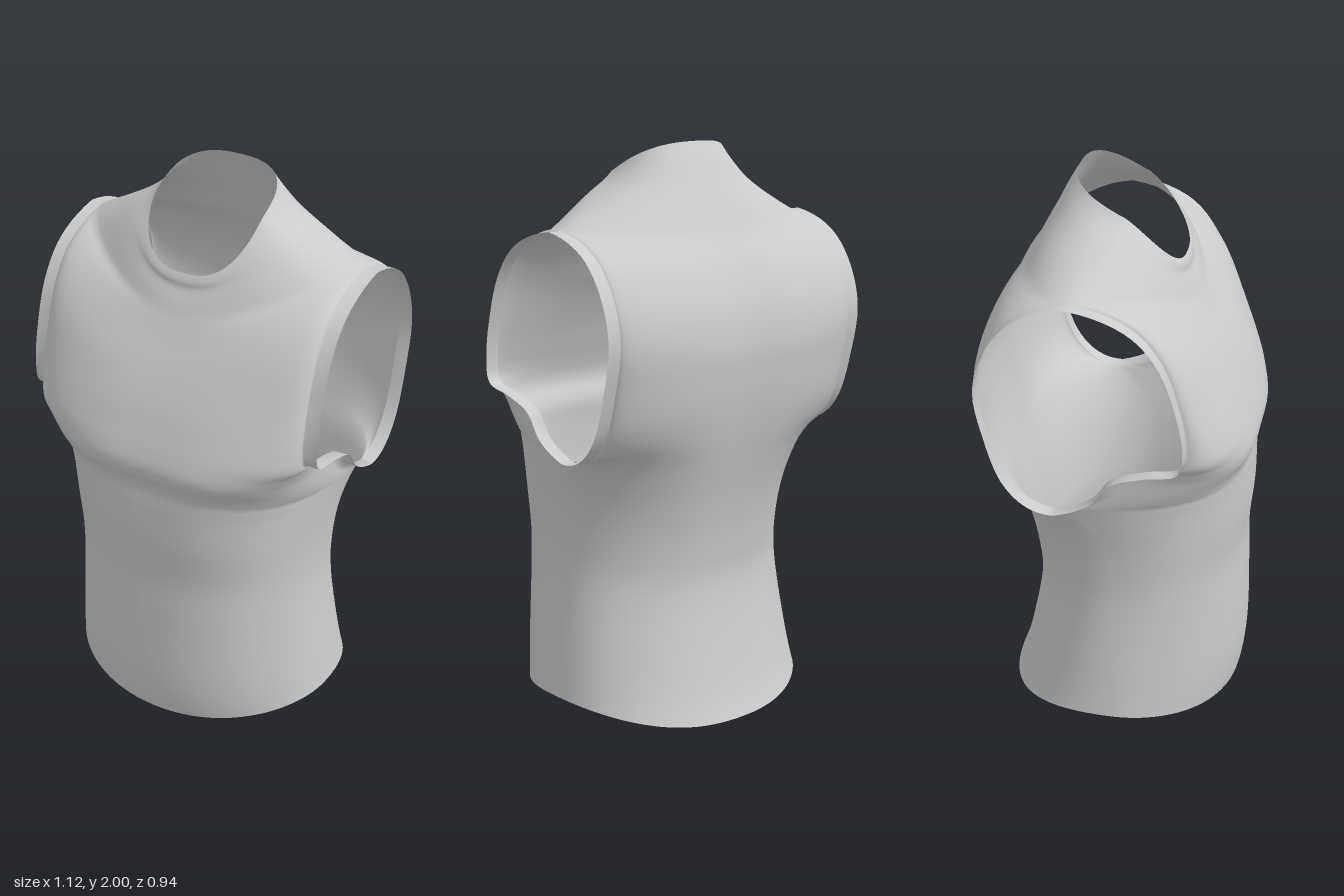
import * as THREE from 'three';
import { mergeGeometries, mergeVertices } from 'three/addons/utils/BufferGeometryUtils.js';

// Section rows from hem to collar. Each row: side edge x, y, z, centre y, z,
// squareness of the arc, and how late the height falls towards the centre.
const FRONT = [
  [0.507, 0.09, 0.02, 0.03, 0.42, 0.97, 2.2],
  [0.49, 0.25, 0.02, 0.2, 0.44, 0.95, 1.5],
  [0.468, 0.48, 0.02, 0.46, 0.436, 0.9, 1],
  [0.463, 0.62, 0.02, 0.63, 0.432, 0.88, 1],
  [0.474, 0.78, 0, 0.79, 0.446, 0.85, 1],
  [0.495, 0.9, -0.06, 0.92, 0.446, 0.8, 1],
  [0.512, 0.965, -0.15, 0.99, 0.443, 0.73, 1],
  [0.512, 1.02, -0.03, 1.03, 0.452, 0.75, 1],
  [0.512, 1.105, 0.04, 1.07, 0.468, 0.73, 1],
  [0.512, 1.145, 0.15, 1.11, 0.47, 0.77, 1],
  [0.512, 1.17, 0.26, 1.16, 0.457, 0.85, 1],
  [0.512, 1.25, 0.28, 1.22, 0.435, 0.9, 1],
  [0.512, 1.38, 0.26, 1.31, 0.4, 1, 1.1],
  [0.512, 1.55, 0.2, 1.42, 0.345, 1.05, 1.5],
  [0.512, 1.67, 0.09, 1.5, 0.295, 1.1, 1.9],
  [0.512, 1.73, -0.1, 1.57, 0.255, 1.15, 2.5],
  [0.4, 1.79, -0.07, 1.62, 0.23, 1.05, 2.4],
  [0.3, 1.845, -0.03, 1.66, 0.208, 0.92, 2],
  [0.24, 1.88, -0.01, 1.685, 0.203, 0.82, 1.6],
  [0.205, 1.91, 0, 1.71, 0.19, 0.76, 1.35],
];
const BACK = [
  [0.507, 0.09, 0.02, 0, -0.42, 0.88, 2.2],
  [0.49, 0.25, 0.02, 0.17, -0.37, 0.9, 1.5],
  [0.468, 0.48, 0.02, 0.45, -0.32, 0.94, 1],
  [0.463, 0.62, 0.02, 0.62, -0.333, 0.96, 1],
  [0.474, 0.78, 0, 0.78, -0.367, 0.96, 1],
  [0.495, 0.9, -0.06, 0.92, -0.407, 0.95, 1],
  [0.512, 0.965, -0.15, 1.0, -0.43, 0.94, 1],
  [0.512, 0.99, -0.25, 1.06, -0.446, 1, 1],
  [0.512, 1.08, -0.33, 1.13, -0.462, 1.08, 1],
  [0.512, 1.23, -0.38, 1.22, -0.477, 1.15, 1],
  [0.512, 1.4, -0.41, 1.34, -0.485, 1.2, 1],
  [0.512, 1.55, -0.37, 1.47, -0.465, 1.15, 1],
  [0.512, 1.67, -0.27, 1.6, -0.41, 1.1, 1.2],
  [0.512, 1.73, -0.1, 1.7, -0.345, 1.08, 1.4],
  [0.4, 1.79, -0.07, 1.79, -0.297, 1, 1.2],
  [0.3, 1.845, -0.03, 1.87, -0.25, 0.9, 1],
  [0.24, 1.88, -0.01, 1.94, -0.21, 0.82, 1],
  [0.205, 1.91, 0, 2.0, -0.17, 0.76, 1],
];
const ARMPIT = 6, FRONT_SHOULDER = 15, BACK_SHOULDER = 13;
const STEPS = 5, COLS = 56;

// Smooth interpolation between rows; edges are split at armpit and shoulder
// so that both panels share exactly the same seams.
function rowAt(rows, shoulder, k) {
  const i = Math.min(Math.floor(k / STEPS), rows.length - 2), s = k / STEPS - i;
  return rows[i].map((b, c) => {
    const d = rows[i + 1][c];
    const split = (n) => n === 0 || n === rows.length - 1 ||
      (c < 3 && (n === ARMPIT || n === shoulder));
    const a = split(i) ? 3 * b - 3 * d + rows[i + 2][c] : rows[i - 1][c];
    const e = split(i + 1) ? 3 * d - 3 * b + rows[i - 1][c] : rows[i + 2][c];
    return b + 0.5 * s * (d - a + s * (2 * a - 5 * b + 4 * d - e + s * (3 * (b - d) + e - a)));
  });
}

// One panel as a list of point rows running from right edge to left edge
function panelRows(rows, shoulder, groove) {
  const out = [], last = (rows.length - 1) * STEPS;
  for (let k = 0; k <= last; k++) {
    const [ex, ey, ez, cy, cz, p, q] = rowAt(rows, shoulder, k);
    const fade = Math.sin(Math.PI * k / last);
    const line = [];
    for (let j = 0; j <= COLS; j++) {
      const t = (j / COLS) * 2 - 1, a = Math.abs(t) * Math.PI / 2;
      const x = Math.sign(t) * ex * Math.pow(Math.sin(a), p);
      const f = Math.abs(t) === 1 ? 0 : Math.pow(Math.cos(a), p);
      const dip = groove * fade * Math.exp(-((x / 0.14) ** 2));
      line.push(new THREE.Vector3(x, ey + (cy - ey) * Math.pow(f, q), ez + (cz - ez) * f + dip));
    }
    out.push(line);
  }
  return out;
}

// Surface through rows of points
function surface(rows, flip = false) {
  const n = rows[0].length, index = [];
  for (let i = 0; i < rows.length - 1; i++) {
    for (let j = 0; j < n - 1; j++) {
      const a = i * n + j, b = a + 1, c = b + n, d = a + n;
      index.push(...(flip ? [a, c, b, a, d, c] : [a, b, c, a, c, d]));
    }
  }
  const geo = new THREE.BufferGeometry().setFromPoints(rows.flat());
  geo.setIndex(index);
  return geo;
}

function smooth(geo) {
  const merged = mergeVertices(geo, 1e-4);
  merged.computeVertexNormals();
  return merged;
}

export function createModel() {
  const group = new THREE.Group();
  const material = new THREE.MeshStandardMaterial({ color: 0xcccccc, side: THREE.DoubleSide });
  const add = (name, geo) => {
    const mesh = new THREE.Mesh(geo, material);
    mesh.name = name;
    group.add(mesh);
  };

  // Front and back panels
  const front = panelRows(FRONT, FRONT_SHOULDER, -0.006);
  const back = panelRows(BACK, BACK_SHOULDER, 0.022);
  const shell = [surface(front), surface(back, true)];

  // Short straight bands around the armholes
  const frontEdge = front.slice(ARMPIT * STEPS, FRONT_SHOULDER * STEPS + 1);
  const backEdge = back.slice(ARMPIT * STEPS, BACK_SHOULDER * STEPS + 1).reverse();
  for (const side of [1, -1]) {
    const col = side > 0 ? COLS : 0;
    const loop = [...frontEdge, ...backEdge.slice(1)].map((line) => line[col]);
    const rim = loop.map((p) => new THREE.Vector3(side * 0.56, p.y, p.z));
    shell.push(surface([loop, rim], side > 0));
  }

  // Panels and bands welded into one smooth body
  add('torsoShell', smooth(mergeGeometries(shell)));

  // Hem turned inwards around the waist opening
  const hem = [...front[0], ...[...back[0]].reverse().slice(1)];
  const lip = [[1, 0], [0.94, 0.004], [0.82, 0.03]].map(([s, lift]) =>
    hem.map((p) => new THREE.Vector3(p.x * s, p.y + lift, p.z * s)));
  add('hemLip', smooth(surface(lip, true)));

  return group;
}
